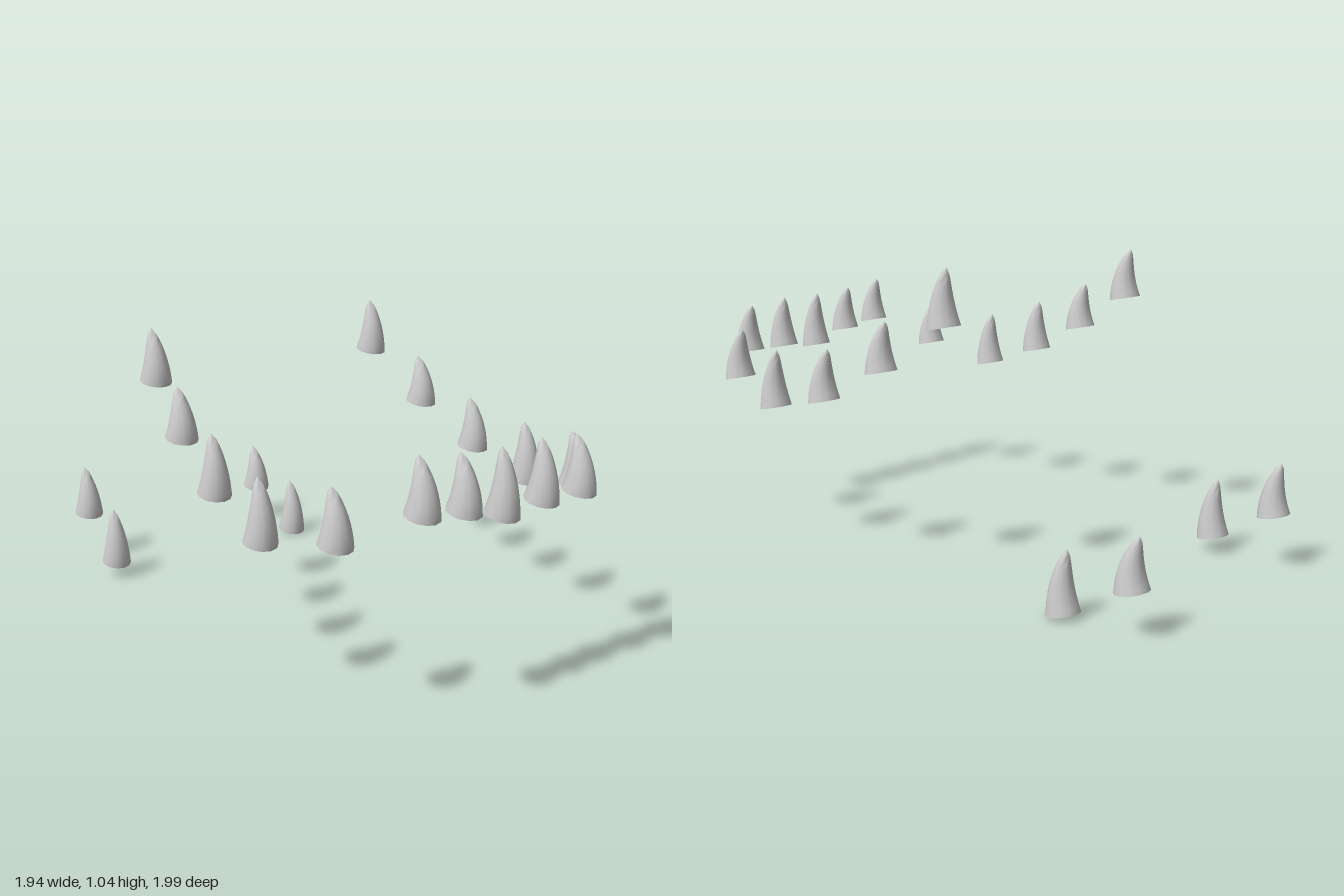
import * as THREE from 'three';
import { toCreasedNormals } from 'three/addons/utils/BufferGeometryUtils.js';

const RADIUS = 0.055;
const SLOPE = 0.2; // the base dips towards the front

// Each spike: x, z, lowest y of the base, y of the tip
const ROWS = {
  frontRow: [
    [0.905, 0.485, 0.605, 0.795], [0.785, 0.595, 0.605, 0.81], [0.665, 0.705, 0.59, 0.81],
    [0.553, 0.823, 0.635, 0.82], [0.437, 0.938, 0.655, 0.84],
  ],
  leftRow: [
    [0.19, -0.485, 0.84, 1.04], [0.39, -0.345, 0.675, 0.855], [0.585, -0.19, 0.55, 0.74],
    [0.765, 0, 0.49, 0.705], [0.915, 0.245, 0.55, 0.74],
  ],
  rightRow: [
    [0.195, 0.932, 0.555, 0.74], [-0.045, 0.768, 0.495, 0.71], [-0.218, 0.58, 0.58, 0.785],
    [-0.363, 0.375, 0.70, 0.88], [-0.495, 0.163, 0.84, 1.03],
  ],
  rearLeftPair: [[-0.335, -0.945, 0.13, 0.315], [-0.157, -0.775, 0, 0.22]],
  rearRightPair: [[-0.763, -0.193, 0.04, 0.26], [-0.92, -0.38, 0.17, 0.366]],
};

// Closed cone with bulging sides, bowed forward and hooked back at the tip
function spikeGeometry(height) {
  const geometry = new THREE.CylinderGeometry(0, 1, 1, 12, 10);
  const p = geometry.attributes.position;
  const tip = height < 0.185 ? -0.022 : -0.012;
  const rise = SLOPE * height;
  for (let i = 0; i < p.count; i++) {
    const t = p.getY(i) + 0.5;
    const k = t > 0.999 ? 0 : RADIUS * Math.pow(1 - t, 0.6) / (1 - t);
    const x = p.getX(i) * k;
    const z = p.getZ(i) * k;
    const bow = rise * t + (tip - rise) * t * t;
    p.setXYZ(i, x, t * height - SLOPE * z * (1 - t), z + bow);
  }
  return toCreasedNormals(geometry, Math.PI / 3);
}

export function createModel() {
  const model = new THREE.Group();
  model.name = 'spikes';
  const material = new THREE.MeshStandardMaterial({ color: 0xcccccc });
  for (const [name, spikes] of Object.entries(ROWS)) {
    const row = new THREE.Group();
    row.name = name;
    spikes.forEach(([x, z, bottom, top], i) => {
      const base = bottom + SLOPE * RADIUS;
      const spike = new THREE.Mesh(spikeGeometry(top - base), material);
      spike.name = `spike${i + 1}`;
      spike.position.set(x, base, z);
      spike.rotation.y = Math.PI / 4; // the whole set points along the +x +z diagonal
      row.add(spike);
    });
    model.add(row);
  }
  return model;
}
